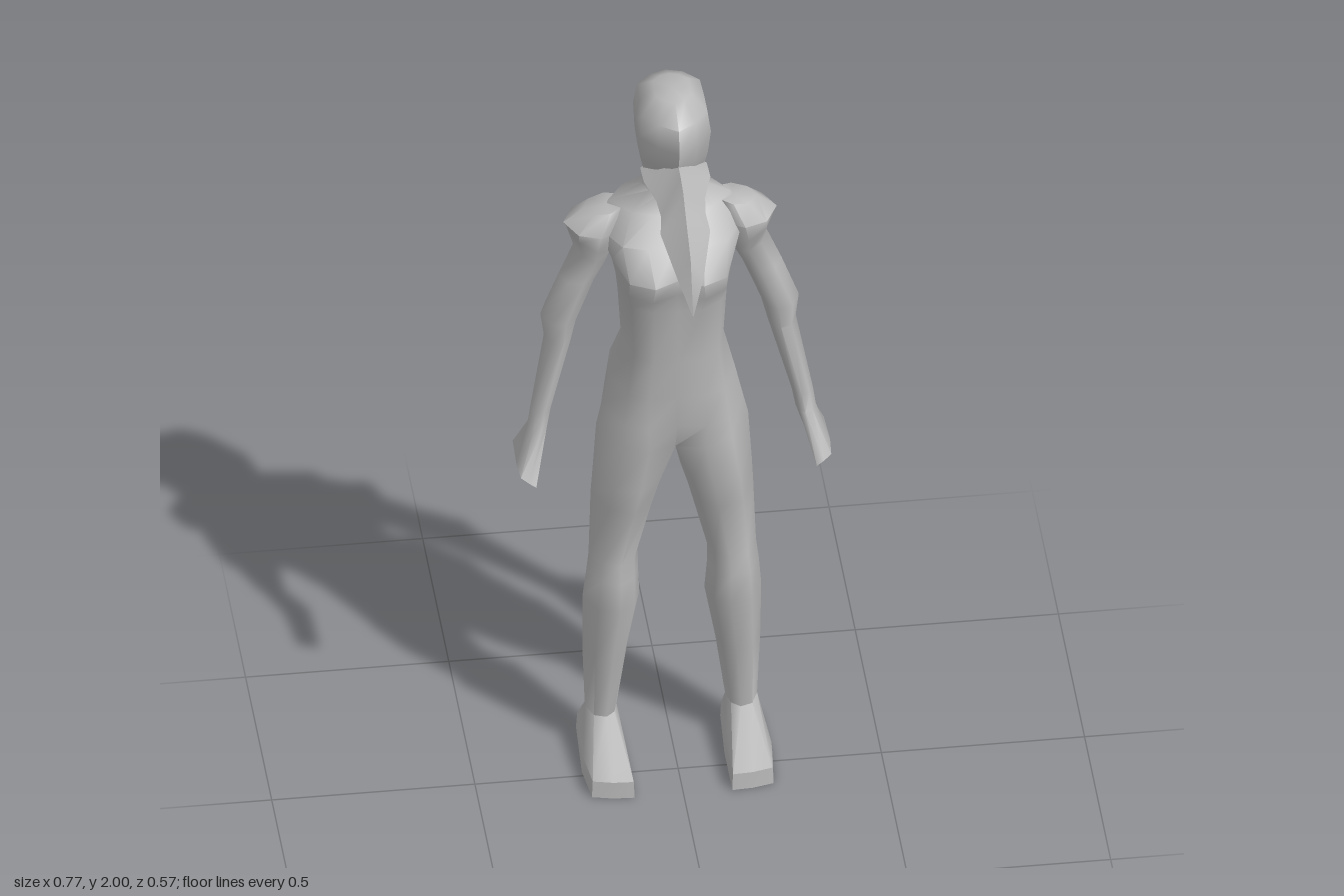
import * as THREE from 'three';
import { mergeGeometries, toCreasedNormals } from 'three/addons/utils/BufferGeometryUtils.js';

const clay = new THREE.MeshStandardMaterial({ color: 0xb8b8b8 });
clay.name = 'clay grey';

// Skin closed rings of [x, y, z]; rings run front, left, back and stack upward.
function loft(rings, capStart = true, capEnd = true) {
  const n = rings[0].length, pos = rings.flat(2), idx = [];
  for (let i = 0; i < rings.length - 1; i++) {
    for (let j = 0; j < n; j++) {
      const a = i * n + j, b = i * n + (j + 1) % n;
      idx.push(a, b, b + n, a, b + n, a + n);
    }
  }
  const cap = (ring, base, flip) => {
    const c = pos.length / 3;
    for (let k = 0; k < 3; k++) pos.push(ring.reduce((s, p) => s + p[k], 0) / n);
    for (let j = 0; j < n; j++) {
      const a = base + j, b = base + (j + 1) % n;
      idx.push(c, flip ? b : a, flip ? a : b);
    }
  };
  if (capStart) cap(rings[0], 0, true);
  if (capEnd) cap(rings[rings.length - 1], (rings.length - 1) * n, false);
  const g = new THREE.BufferGeometry();
  g.setAttribute('position', new THREE.Float32BufferAttribute(pos, 3));
  g.setIndex(idx);
  return g;
}

// Complete a left half ring (front centre to back centre) with its mirror.
const fullRing = half => [...half, ...half.slice(1, -1).reverse().map(([x, y, z]) => [-x, y, z])];
const mirrorRings = rings => rings.map(r => r.map(([x, y, z]) => [-x, y, z]).reverse());

// Limb cross-sections as fractions across (inner to outer) and back (front to rear).
const ROUND = [[.12, .18], [.4, 0], [.78, .1], [1, .5], [.8, .9], [.45, 1], [.12, .82], [0, .5]];
const SQUARE = [[0, 0], [.45, 0.01], [.9, .05], [1, .4], [.92, 1], [.45, 1], [.08, 1], [0, .5]];
const limbRing = ([y, xi, xo, zf, zb, slope = 0], shape = ROUND) =>
  shape.map(([u, v]) => [xi + (xo - xi) * u, y + slope * (u - .5), zf + (zb - zf) * v]);

// Hip line where torso and legs meet, dipping at the crotch.
const hip = [[0, .95, -.05], [.07, .97, -.005], [.135, .99, -.015], [.187, .99, -.115],
  [.155, .98, -.21], [.085, .97, -.25], [0, .95, -.2]];

// Torso levels: height, then half outline [x, z] from front centre to back centre.
const torsoLevels = [
  [1.04, [0, -.01], [.07, 0], [.13, -.025], [.175, -.12], [.15, -.23], [.09, -.28], [0, -.25]],
  [1.13, [0, -.01], [.07, -.005], [.12, -.03], [.155, -.12], [.14, -.22], [.08, -.278], [0, -.26]],
  [1.25, [0, .01], [.06, .005], [.105, -.03], [.126, -.11], [.105, -.19], [.06, -.222], [0, -.21]],
  [1.40, [0, 0], [.06, .002], [.11, -.03], [.135, -.11], [.12, -.2], [.07, -.245], [0, -.23]],
  [1.45, [0, 0], [.065, .028], [.12, -.01], [.14, -.11], [.13, -.21], [.08, -.255], [0, -.235]],
  [1.50, [0, .01], [.06, .04], [.12, .01], [.15, -.1], [.14, -.22], [.09, -.268], [0, -.25]],
  [1.57, [0, -.04], [.07, -.03], [.13, -.05], [.18, -.14], [.15, -.235], [.1, -.28], [0, -.262]],
  [1.63, [0, -.09], [.05, -.09], [.1, -.11], [.15, -.17], [.11, -.225], [.06, -.25], [0, -.245]],
  [1.67, [0, -.12], [.03, -.12], [.055, -.14], [.068, -.175], [.055, -.21], [.03, -.228], [0, -.232]],
  [1.76, [0, -.1], [.03, -.105], [.047, -.13], [.05, -.165], [.047, -.2], [.03, -.215], [0, -.22]],
];

// Leg levels going down: height, inner x, outer x, front z, back z.
const legLevels = [
  [.85, .02, .196, 0, -.23], [.78, .04, .2, -.01, -.23], [.6, .085, .206, -.045, -.18],
  [.55, .085, .212, -.03, -.186], [.46, .08, .22, -.04, -.202], [.3, .108, .219, -.06, -.2],
  [.11, .134, .212, -.085, -.19],
];
const footLevels = [[.045, .122, .232, .1, -.195], [0, .12, .235, .104, -.2]];

// Arm levels going down, with a tilt for the sloping shoulder and fingertips.
const armLevels = [
  [1.62, .11, .215, -.12, -.21, -.02], [1.575, .12, .263, -.085, -.23, .01],
  [1.535, .14, .255, -.09, -.235, .06], [1.49, .155, .238, -.105, -.215, .04],
  [1.42, .18, .275, -.11, -.21], [1.3, .225, .318, -.105, -.225], [1.24, .24, .31, -.11, -.21],
  [1.04, .296, .348, -.1, -.16], [.99, .305, .355, -.09, -.165],
];
const fingertips = [.885, .345, .386, -.03, -.19, .03];

// Head levels: height, half width, front z, back z.
const headLevels = [
  [1.7, .055, -.08, -.22], [1.75, .068, -.03, -.228], [1.82, .083, 0, -.262],
  [1.9, .088, .03, -.256], [1.96, .08, .015, -.24], [1.997, .045, -.05, -.175],
];
const HEAD = [[0, 0], [.55, .12], [1, .3], [1, .55], [.97, .8], [.5, .95], [0, 1]];

// Beak sections: z, top y, half width, side y, bottom y.
const beakSections = [
  [-.09, 1.83, .082, 1.78, 1.7], [-.02, 1.85, .082, 1.79, 1.745], [.05, 1.845, .06, 1.78, 1.74],
  [.1, 1.835, .055, 1.77, 1.725], [.14, 1.805, .061, 1.745, 1.705],
  [.24, 1.738, .032, 1.68, 1.638], [.287, 1.605, .002, 1.602, 1.6],
];

export function createModel() {
  const group = new THREE.Group();
  const add = (name, geometry, crease = 1.1) => {
    const mesh = new THREE.Mesh(toCreasedNormals(geometry, crease), clay);
    mesh.name = name;
    group.add(mesh);
  };

  // Torso and legs share the hip line, so they shade as one skin.
  const torso = [hip, ...torsoLevels.map(([y, ...pts]) => pts.map(([x, z]) => [x, y, z]))].map(fullRing);
  const leg = [
    [...hip, [0, .94, -.125]],
    ...legLevels.map(l => limbRing(l)),
    ...footLevels.map(l => limbRing(l, SQUARE)),
  ].reverse();
  add('body', mergeGeometries([
    loft(torso, false, true),
    loft(leg, true, false),
    loft(mirrorRings(leg), true, false),
  ]));

  // Arms
  const arm = [...armLevels.map(l => limbRing(l)), limbRing(fingertips, SQUARE)].reverse();
  add('leftArm', loft(arm));
  add('rightArm', loft(mirrorRings(arm)));

  // Head
  add('head', loft(headLevels.map(([y, w, zf, zb]) =>
    fullRing(HEAD.map(([u, v]) => [w * u, y, zf + (zb - zf) * v])))));

  // Drooping beak with a ridge along the top
  add('beak', loft(beakSections.map(([z, top, w, side, bottom]) =>
    [[w, side, z], [0, top, z], [-w, side, z], [0, bottom, z]])), 0.9);

  return group;
}
